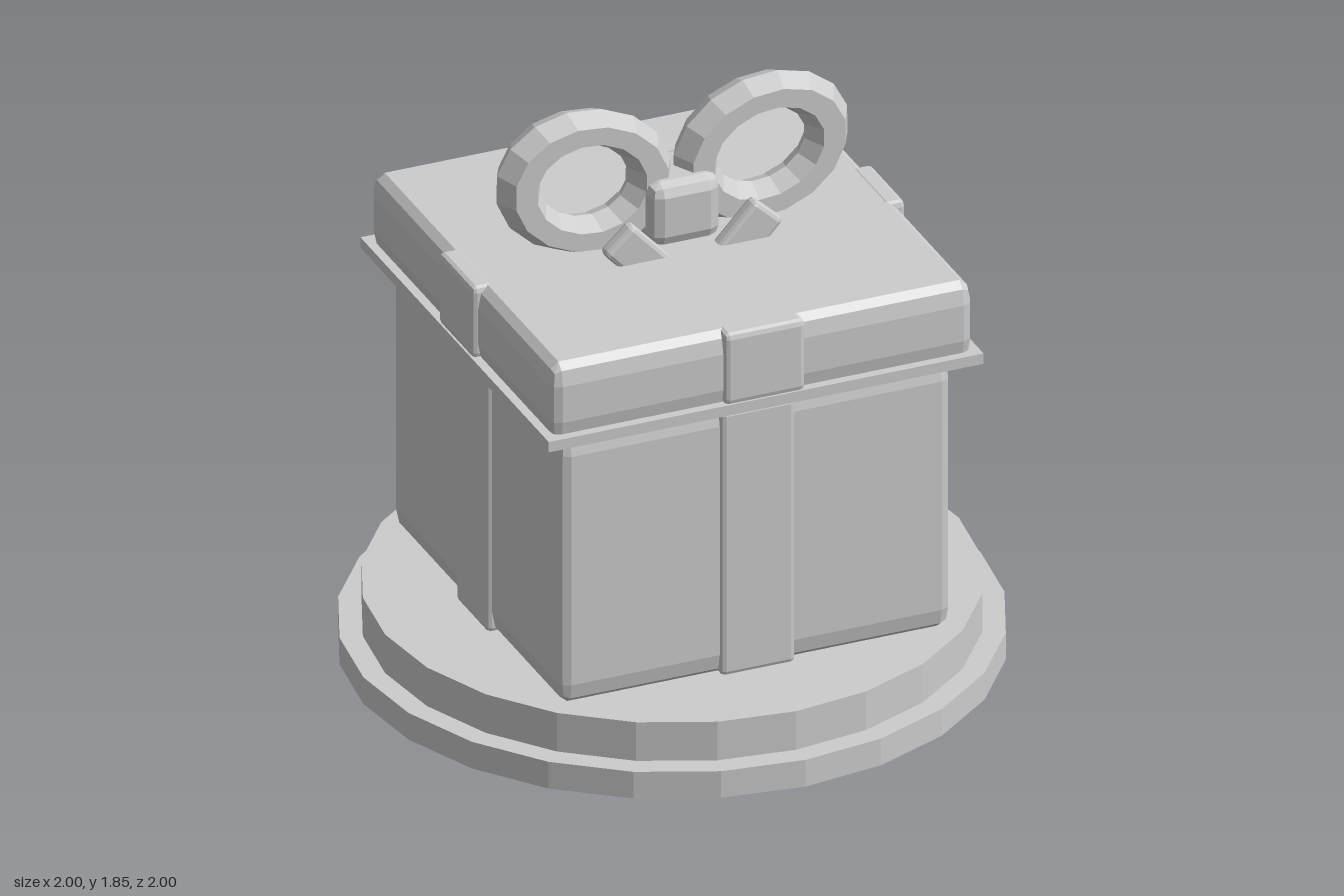
import * as THREE from 'three';
import { RoundedBoxGeometry } from 'three/addons/geometries/RoundedBoxGeometry.js';

export function createModel() {
  const model = new THREE.Group();
  model.name = 'giftBox';
  const grey = new THREE.MeshStandardMaterial({ color: 0xcccccc });
  grey.name = 'light grey';
  grey.flatShading = true;

  function add(name, geometry, x = 0, y = 0, z = 0, parent = model) {
    const mesh = new THREE.Mesh(geometry, grey);
    mesh.name = name;
    mesh.position.set(x, y, z);
    parent.add(mesh);
    return mesh;
  }

  // Box with faceted edges; bevelY stretches the bevel vertically
  function bevelBox(w, h, d, bevel, bevelY = bevel) {
    const k = bevelY / bevel;
    return new RoundedBoxGeometry(w, h / k, d, 1, bevel).scale(1, k, 1);
  }

  // Two-step round base
  add('baseLower', new THREE.CylinderGeometry(1, 1, 0.09, 24), 0, 0.045);
  add('baseUpper', new THREE.CylinderGeometry(0.93, 0.93, 0.13, 24), 0, 0.155);

  // Box body and lid
  add('body', bevelBox(1.27, 0.91, 1.27, 0.035, 0.07), 0, 0.675);
  add('lid', bevelBox(1.37, 0.26, 1.37, 0.035, 0.07), 0, 1.27);

  // Square rim frame under the lid
  const square = (s) => [[-s, -s], [s, -s], [s, s], [-s, s]].map((p) => new THREE.Vector2(...p));
  const rimShape = new THREE.Shape(square(0.705));
  rimShape.holes.push(new THREE.Path(square(0.63).reverse()));
  const rim = new THREE.ExtrudeGeometry(rimShape, { depth: 0.035, bevelEnabled: false });
  add('lidRim', rim.rotateX(-Math.PI / 2), 0, 1.132, 0);

  // Ribbon bands on all four sides
  for (let i = 0; i < 4; i++) {
    const side = new THREE.Group();
    side.name = 'ribbonSide';
    side.rotation.y = (i * Math.PI) / 2;
    add('bodyRibbon', bevelBox(0.24, 0.89, 0.08, 0.015), 0, 0.667, 0.61, side);
    add('lidRibbon', bevelBox(0.26, 0.242, 0.07, 0.015, 0.02), 0, 1.281, 0.667, side);
    model.add(side);
  }

  // Bow: knot, two tilted oval loops and two short tails
  add('bowKnot', bevelBox(0.23, 0.21, 0.24, 0.04), 0, 1.5);
  for (const s of [-1, 1]) {
    const loop = new THREE.TorusGeometry(0.218, 0.072, 6, 16).scale(1, 0.81, 1.08);
    add('bowLoop', loop, s * 0.287, 1.617).rotation.z = s * 0.25;
    const tail = add('bowTail', bevelBox(0.125, 0.22, 0.054, 0.015), s * 0.17, 1.405, 0.148);
    tail.rotation.z = -s * 0.75;
  }
  return model;
}
